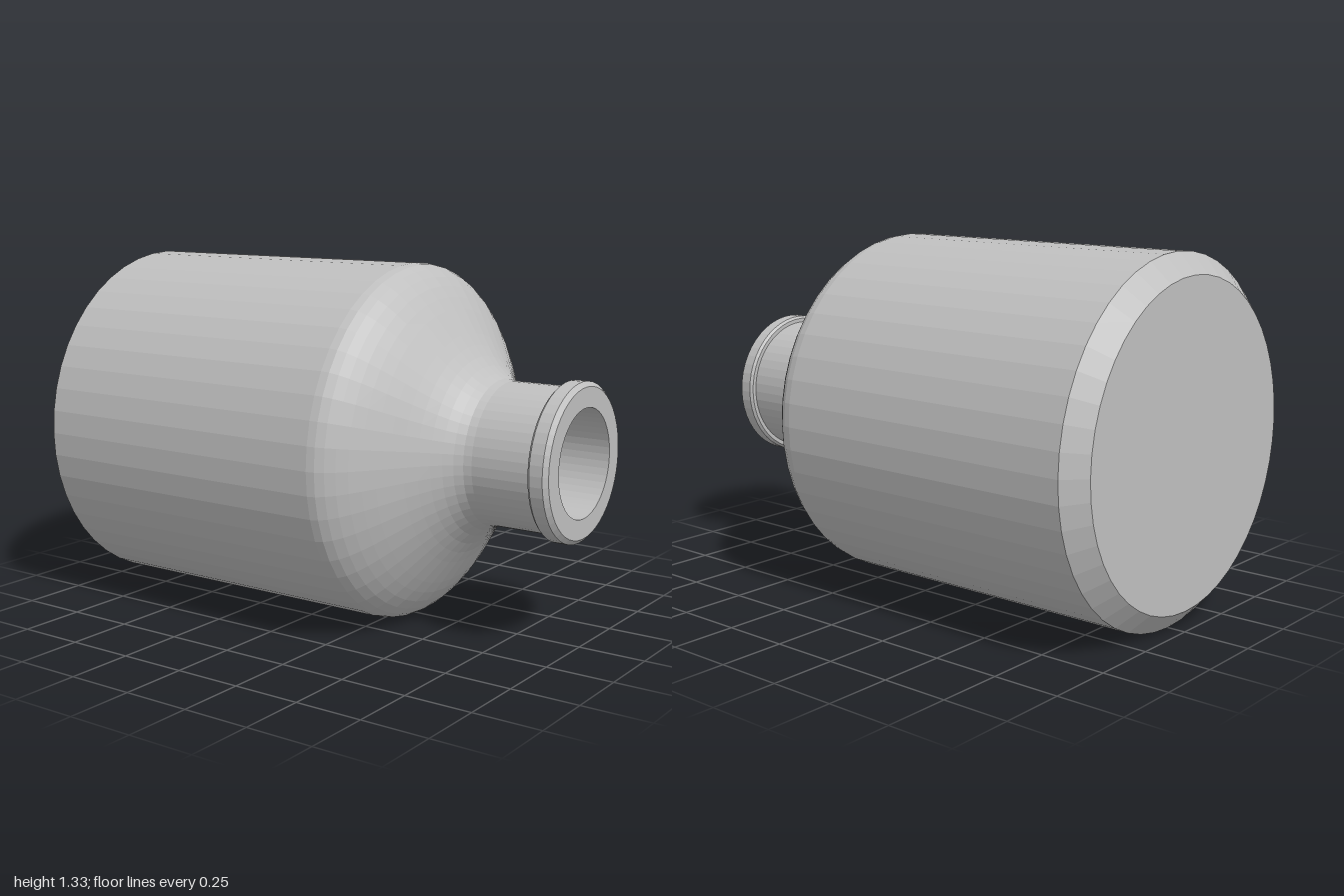
import * as THREE from 'three';

const SIDES = 48;
const RADIUS = 0.666;

export function createModel() {
  const group = new THREE.Group();
  group.name = 'bottle';
  const grey = new THREE.MeshStandardMaterial({ color: 0xbfbfbf, flatShading: true });
  grey.name = 'grey';

  // Turns a profile of [radius, z] points around the bottle's lying axis
  const turned = (name, profile) => {
    const points = profile.map(([r, z]) => new THREE.Vector2(r, z));
    const geometry = new THREE.LatheGeometry(points, SIDES);
    geometry.rotateX(Math.PI / 2);
    const mesh = new THREE.Mesh(geometry, grey);
    mesh.name = name;
    mesh.position.y = RADIUS;
    group.add(mesh);
  };

  // Flat base with bevelled edge, and straight wall
  turned('body', [[0, -1], [0.59, -1], [RADIUS, -0.93], [RADIUS, 0.29]]);

  // S-shaped shoulder running into the neck
  const curve = new THREE.CubicBezierCurve(
    new THREE.Vector2(RADIUS, 0.29), new THREE.Vector2(RADIUS, 0.43),
    new THREE.Vector2(0.263, 0.56), new THREE.Vector2(0.263, 0.7));
  turned('shoulder', curve.getPoints(14).map((p) => [p.x, p.y]));

  turned('neck', [[0.263, 0.7], [0.263, 0.925]]);

  // Bevelled collar around the mouth
  turned('collar', [[0.263, 0.925], [0.278, 0.925], [0.287, 0.935], [0.287, 0.985], [0.27, 1], [0.197, 1]]);

  // Recessed mouth with a flat floor
  turned('mouth', [[0.197, 1], [0.197, 0.79], [0, 0.79]]);

  return group;
}
